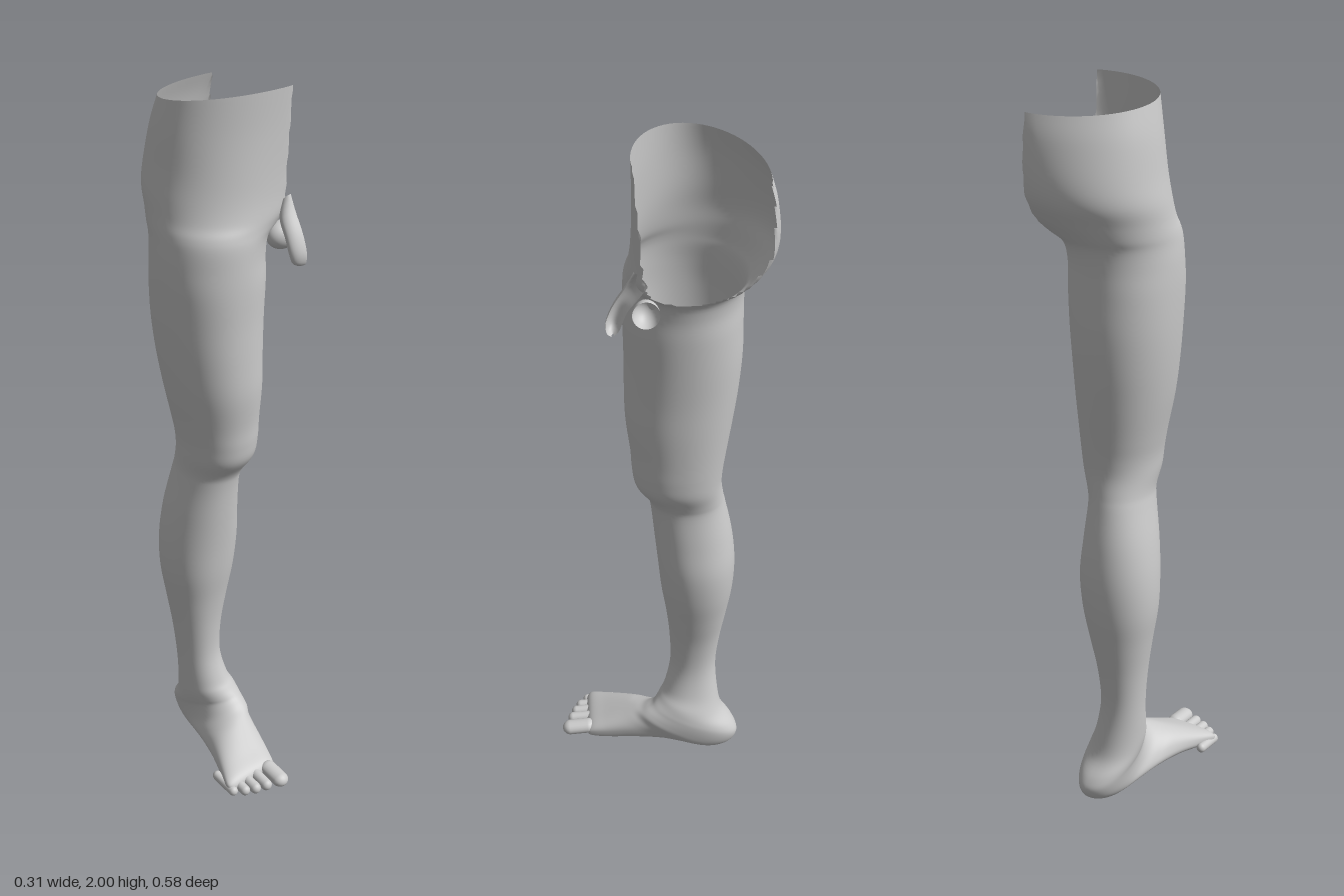
import * as THREE from 'three';

const CUT = 0.152; // the body is cut off on this x plane
const skin = new THREE.MeshStandardMaterial({ color: 0xcccccc, side: THREE.DoubleSide });

// Smooth interpolation between cross-section rows
function smoothRows(rows, steps) {
  const at = (i) => rows[Math.min(rows.length - 1, Math.max(0, i))];
  const out = [];
  for (let i = 0; i < rows.length - 1; i++) {
    for (let s = 0; s < steps; s++) {
      const t = s / steps;
      out.push(at(i).map((p1, k) => {
        const p0 = at(i - 1)[k], p2 = at(i + 1)[k], p3 = at(i + 2)[k];
        const m1 = (p2 - p0) / 2, m2 = (p3 - p1) / 2, d = p2 - p1;
        return p1 + t * (m1 + t * (3 * d - 2 * m1 - m2 + t * (m1 + m2 - 2 * d)));
      }));
    }
  }
  out.push(rows[rows.length - 1]);
  return out;
}

// Skin over tilted rings; a row is
// [front y, front z, back y, back z, outer x, inner x, centre x, roundness]
function loft(rows, segments, steps) {
  const rings = smoothRows(rows, steps);
  const pos = [], index = [], cut = [];
  for (const [yf, zf, yb, zb, xo, xi, cx, p] of rings) {
    for (let j = 0; j < segments; j++) {
      const a = (j / segments) * Math.PI * 2;
      const c = Math.sign(Math.cos(a)) * Math.abs(Math.cos(a)) ** p;
      const s = Math.sign(Math.sin(a)) * Math.abs(Math.sin(a)) ** p;
      const x = cx + c * (c > 0 ? xi - cx : cx - xo);
      const t = (1 - s) / 2;
      pos.push(Math.min(x, CUT), yf + (yb - yf) * t, zf + (zb - zf) * t);
      cut.push(x > CUT);
    }
  }
  // Triangles lying wholly beyond the cut are left open
  const tri = (a, b, c) => { if (!(cut[a] && cut[b] && cut[c])) index.push(a, b, c); };
  for (let i = 0; i < rings.length - 1; i++) {
    for (let j = 0; j < segments; j++) {
      const k = (j + 1) % segments;
      const a = i * segments + j, b = i * segments + k;
      tri(a, b, a + segments);
      tri(b, b + segments, a + segments);
    }
  }
  const g = new THREE.BufferGeometry();
  g.setAttribute('position', new THREE.Float32BufferAttribute(pos, 3));
  g.setIndex(index);
  g.computeVertexNormals();
  return g;
}

// Hip: open towards the cut plane
const hip = [
  [2.00, 0.068, 1.95, -0.258, -0.11, 0.30, 0.12, 1],
  [1.90, 0.066, 1.89, -0.275, -0.125, 0.28, 0.10, 1],
  [1.80, 0.067, 1.80, -0.288, -0.137, 0.27, 0.07, 1],
  [1.73, 0.070, 1.74, -0.284, -0.147, 0.26, 0.05, 1],
  [1.68, 0.076, 1.69, -0.260, -0.151, 0.24, 0.03, 1],
  [1.65, 0.082, 1.65, -0.237, -0.155, 0.20, 0.00, 1],
  [1.62, 0.087, 1.62, -0.222, -0.157, 0.148, -0.01, 1],
  [1.57, 0.089, 1.57, -0.216, -0.160, 0.133, -0.015, 1],
];

// Thigh, knee and calf: [y, front z, back z, outer x, inner x]
const leg = [
  [1.50, 0.090, -0.216, -0.160, 0.130],
  [1.40, 0.088, -0.217, -0.155, 0.125],
  [1.30, 0.088, -0.210, -0.145, 0.120],
  [1.20, 0.086, -0.197, -0.130, 0.117],
  [1.10, 0.074, -0.182, -0.110, 0.111],
  [1.04, 0.070, -0.174, -0.099, 0.107],
  [0.99, 0.061, -0.171, -0.095, 0.100],
  [0.94, 0.030, -0.177, -0.091, 0.080],
  [0.90, 0.020, -0.185, -0.096, 0.073],
  [0.80, 0.010, -0.205, -0.115, 0.080],
  [0.70, 0.000, -0.215, -0.126, 0.088],
  [0.60, -0.010, -0.211, -0.125, 0.080],
  [0.50, -0.025, -0.196, -0.110, 0.060],
  [0.40, -0.035, -0.180, -0.095, 0.040],
  [0.30, -0.037, -0.170, -0.085, 0.034],
].map(([y, zf, zb, xo, xi]) => [y, zf, y, zb, xo, xi, (xo + xi) / 2, 0.95]);

// Ankle, heel and foot: rings fan round until they face forwards
const foot = [
  [0.22, -0.020, 0.205, -0.176, -0.080, 0.050, -0.01, 0.95],
  [0.19, -0.005, 0.135, -0.190, -0.077, 0.070, 0.00, 0.95],
  [0.17, 0.010, 0.085, -0.225, -0.072, 0.078, 0.015, 0.95],
  [0.16, 0.020, 0.050, -0.236, -0.066, 0.080, 0.02, 0.95],
  [0.15, 0.035, 0.016, -0.215, -0.063, 0.078, 0.02, 0.9],
  [0.14, 0.050, 0.002, -0.170, -0.066, 0.073, 0.015, 0.85],
  [0.13, 0.070, 0.012, -0.100, -0.080, 0.060, 0.00, 0.85],
  [0.12, 0.090, 0.024, -0.030, -0.095, 0.050, -0.01, 0.8],
  [0.105, 0.120, 0.025, 0.060, -0.115, 0.040, -0.02, 0.8],
  [0.085, 0.160, 0.019, 0.140, -0.137, 0.028, -0.03, 0.75],
  [0.067, 0.197, 0.018, 0.195, -0.153, 0.016, -0.04, 0.7],
  [0.052, 0.212, 0.025, 0.212, -0.142, 0.006, -0.05, 0.7],
  [0.038, 0.215, 0.036, 0.215, -0.120, -0.02, -0.06, 0.7],
];

// Small anatomical half form on the cut plane
const groin = [
  [1.72, 0.065, 1.68, 0.030, 0.135, 0.18, 0.15, 1],
  [1.68, 0.085, 1.645, 0.055, 0.116, 0.19, 0.15, 1],
  [1.63, 0.115, 1.615, 0.078, 0.112, 0.19, 0.15, 1],
  [1.585, 0.132, 1.585, 0.090, 0.113, 0.19, 0.15, 1],
  [1.555, 0.130, 1.56, 0.100, 0.120, 0.18, 0.15, 1],
  [1.545, 0.118, 1.547, 0.112, 0.140, 0.16, 0.15, 1],
];

// Toes: [centre x, tip z, half width, centre y], big toe first
const toes = [
  [-0.013, 0.288, 0.024, 0.044],
  [-0.056, 0.272, 0.016, 0.041],
  [-0.087, 0.261, 0.0155, 0.038],
  [-0.115, 0.247, 0.0145, 0.036],
  [-0.142, 0.226, 0.0135, 0.034],
];

export function createModel() {
  const model = new THREE.Group();
  model.name = 'lowerLimb';
  const add = (name, geometry, parent = model) => {
    const mesh = new THREE.Mesh(geometry, skin);
    mesh.name = name;
    parent.add(mesh);
    return mesh;
  };

  add('legAndFoot', loft([...hip, ...leg, ...foot], 64, 5));
  add('groinFront', loft(groin, 32, 4));

  const lower = add('groinLower', new THREE.SphereGeometry(1, 20, 20, -Math.PI / 2, Math.PI));
  lower.scale.set(0.046, 0.038, 0.034);
  lower.position.set(CUT, 1.602, 0.034);

  // Toes overlap the ball of the foot and dip slightly at the tips
  const toeGroup = new THREE.Group();
  toeGroup.name = 'toes';
  for (const [x, tip, r, y] of toes) {
    const length = 0.1;
    const g = new THREE.CapsuleGeometry(r, length - 2 * r, 8, 20);
    g.rotateX(Math.PI / 2);
    g.scale(1, r > 0.02 ? 0.85 : 1.05, 1);
    g.rotateX(0.1);
    g.translate(x, y, tip - length / 2);
    add('toe', g, toeGroup);
  }
  model.add(toeGroup);
  return model;
}
